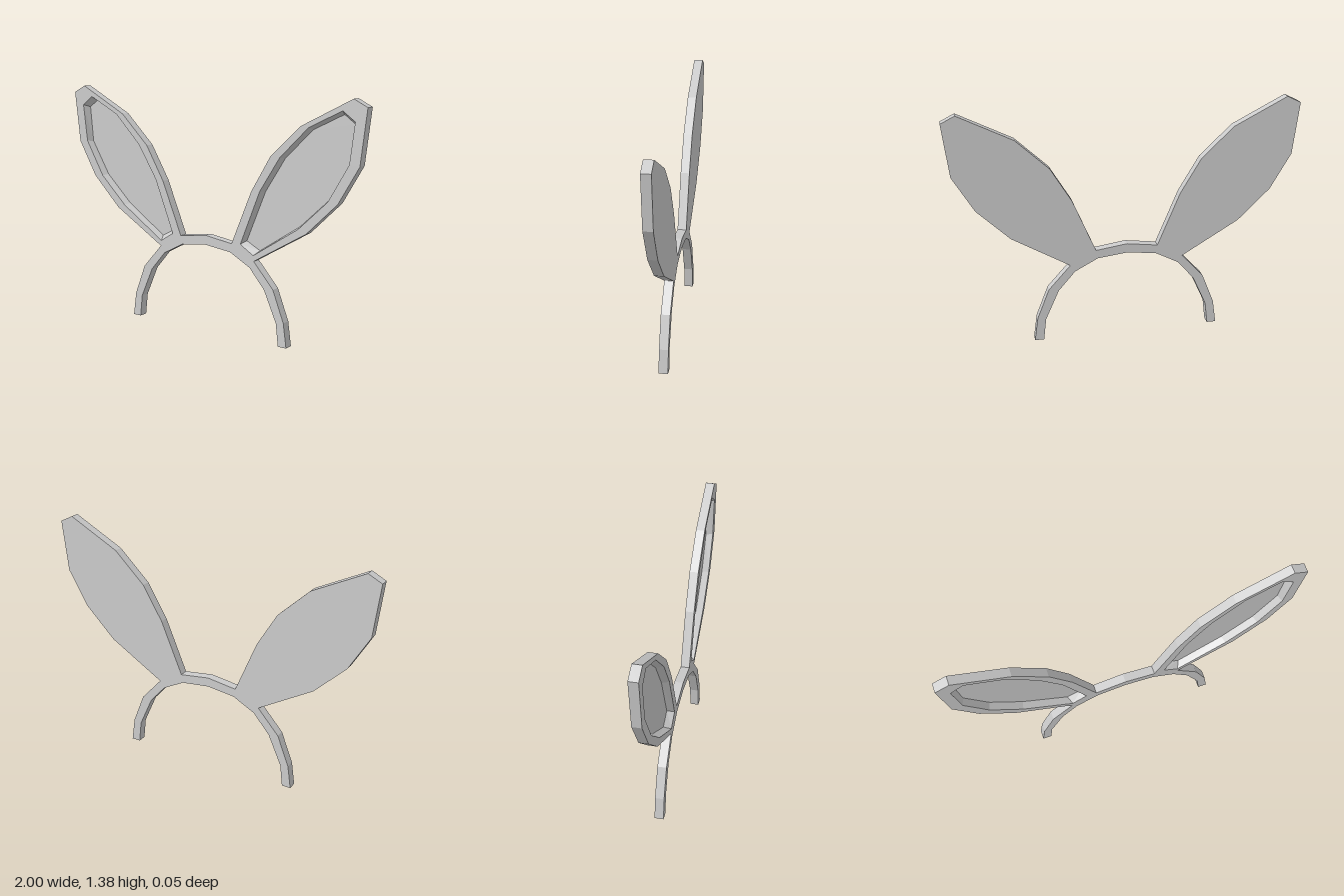
import * as THREE from 'three';

const HALF = 0.026;    // half thickness of the whole piece
const FLOOR = -0.015;  // depth of the inner ear panel

// Each row is one corner of the ear: outer edge, recess opening, recess floor
const EAR = [
  [0.18, 0.54, 0.24, 0.545, 0.257, 0.56],
  [0.31, 0.85, 0.365, 0.855, 0.377, 0.85],
  [0.43, 1.05, 0.49, 1.05, 0.502, 1.045],
  [0.615, 1.225, 0.663, 1.22, 0.67, 1.207],
  [0.92, 1.38, 0.86, 1.317, 0.85, 1.295],
  [1.0, 1.34, 0.932, 1.265, 0.912, 1.25],
  [0.965, 1.04, 0.905, 1.045, 0.892, 1.04],
  [0.845, 0.835, 0.785, 0.84, 0.773, 0.845],
  [0.66, 0.655, 0.61, 0.675, 0.6, 0.683],
  [0.33, 0.46, 0.326, 0.492, 0.345, 0.515],
];

// Half profiles of the headband, from the foot to the crown
const BAND_OUTER = [[0.548, 0], [0.528, 0.14], [0.458, 0.318], [0.33, 0.46], [0.18, 0.54], [0, 0.565]];
const BAND_INNER = [[0.495, 0], [0.48, 0.13], [0.4, 0.308], [0.303, 0.42], [0.17, 0.49], [0, 0.51]];

const material = new THREE.MeshStandardMaterial({ color: 0xcccccc, flatShading: true });

// Mirrors a half profile about x = 0 into a full arch
function arch(half) {
  const left = half.slice(0, -1).reverse().map(([x, y]) => [-x, y]);
  return [...half, ...left].map(([x, y]) => new THREE.Vector2(x, y));
}

function headband() {
  const shape = new THREE.Shape([...arch(BAND_OUTER), ...arch(BAND_INNER).reverse()]);
  const geometry = new THREE.ExtrudeGeometry(shape, { depth: 2 * HALF, bevelEnabled: false });
  geometry.translate(0, 0, -HALF);
  return new THREE.Mesh(geometry, material);
}

// Ear skin: back face, side wall, front rim, sloped recess wall and inner panel
function ear(side) {
  const rows = side > 0 ? [...EAR].reverse() : EAR; // keep loops counter-clockwise
  const loop = (column, z) => rows.map((r) => new THREE.Vector3(side * r[column], r[column + 1], z));
  const loops = [loop(0, -HALF), loop(0, HALF), loop(2, HALF), loop(4, FLOOR)];
  const points = [];

  for (let k = 0; k < loops.length - 1; k++) {
    const a = loops[k], b = loops[k + 1];
    a.forEach((p, i) => {
      const j = (i + 1) % a.length;
      points.push(p, a[j], b[j], p, b[j], b[i]);
    });
  }
  const cap = (ring, flip) => {
    for (const [a, b, c] of THREE.ShapeUtils.triangulateShape(ring, [])) {
      points.push(ring[a], ring[flip ? c : b], ring[flip ? b : c]);
    }
  };
  cap(loops[0], true);
  cap(loops[3], false);

  const geometry = new THREE.BufferGeometry().setFromPoints(points);
  geometry.computeVertexNormals();
  return new THREE.Mesh(geometry, material);
}

export function createModel() {
  const model = new THREE.Group();
  model.name = 'earHeadband';

  const band = headband();
  band.name = 'headband';
  model.add(band);

  for (const side of [1, -1]) {
    const mesh = ear(side);
    mesh.name = side > 0 ? 'leftEar' : 'rightEar';
    model.add(mesh);
  }
  return model;
}
